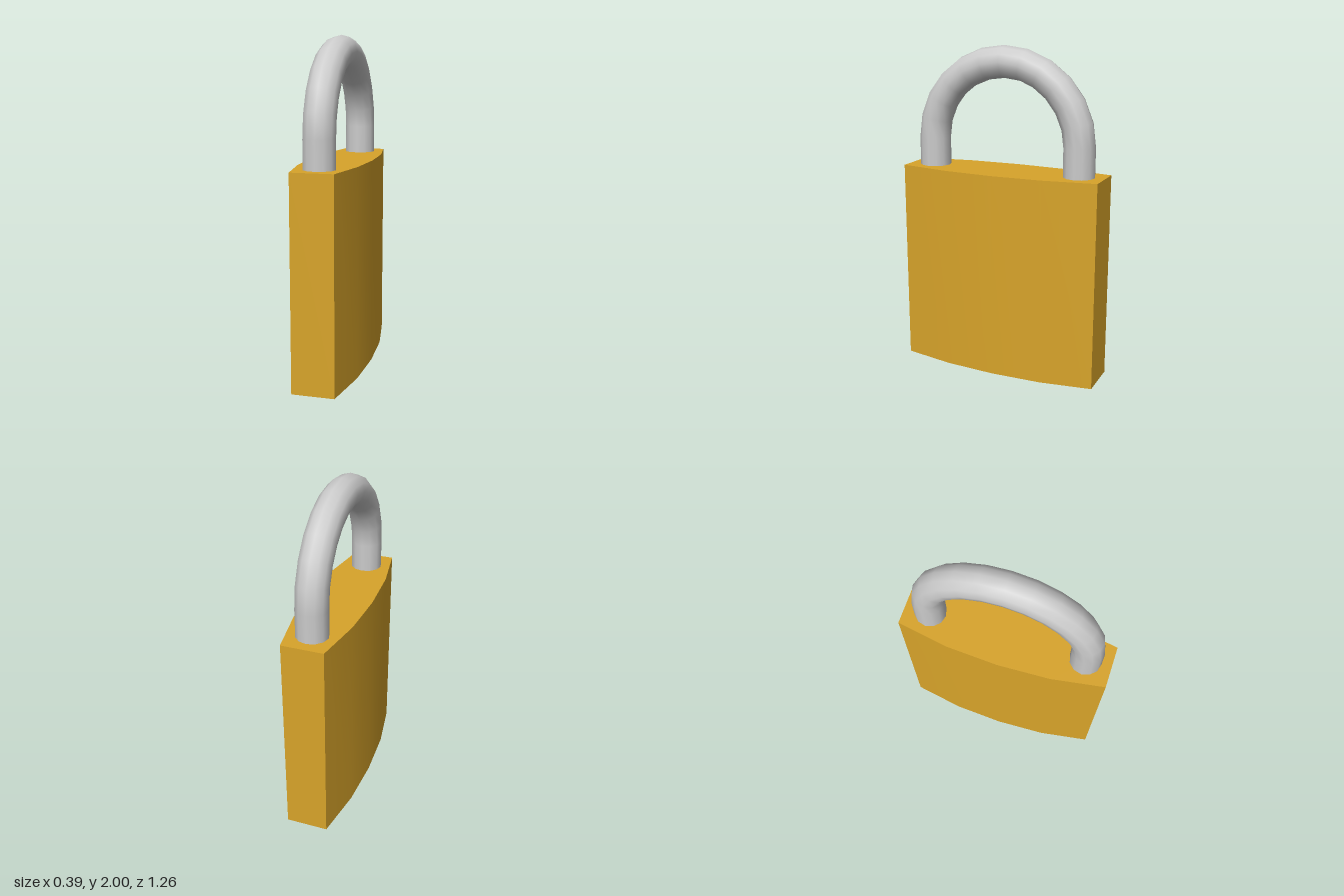
import * as THREE from 'three';
import { toCreasedNormals } from 'three/addons/utils/BufferGeometryUtils.js';

const BODY_HEIGHT = 1.26;
const ARC_Y = 1.43; // where the straight legs meet the bow
const BOW_RADIUS = 0.475;
const WIRE_RADIUS = 0.095;
const SIDES = 12;

export function createModel() {
  const model = new THREE.Group();
  model.name = 'padlock';

  const brass = new THREE.MeshStandardMaterial({ color: 0xd8a42a });
  const steel = new THREE.MeshStandardMaterial({ color: 0xcccccc });

  // Body: bulging outline extruded upwards, sharp at the corners
  const half = [[0.126, -0.63], [0.178, -0.315], [0.193, 0], [0.178, 0.315], [0.126, 0.63]];
  const outline = [...half, ...half.map(([x, z]) => [-x, -z])];
  const shape = new THREE.Shape(outline.map(([x, z]) => new THREE.Vector2(x, z)));
  const bodyGeometry = new THREE.ExtrudeGeometry(shape, { depth: BODY_HEIGHT, bevelEnabled: false });
  bodyGeometry.rotateX(-Math.PI / 2);
  const body = new THREE.Mesh(toCreasedNormals(bodyGeometry, Math.PI / 6), brass);
  body.name = 'body';
  model.add(body);

  // Shackle: half-ring bow on two straight legs
  const shackle = new THREE.Group();
  shackle.name = 'shackle';
  const bow = new THREE.Mesh(
    new THREE.TorusGeometry(BOW_RADIUS, WIRE_RADIUS, SIDES, 12, Math.PI), steel);
  bow.name = 'shackleBow';
  bow.rotation.y = Math.PI / 2;
  bow.position.y = ARC_Y;
  shackle.add(bow);

  const legLength = ARC_Y - BODY_HEIGHT;
  for (const side of [1, -1]) {
    const leg = new THREE.Mesh(
      new THREE.CylinderGeometry(WIRE_RADIUS, WIRE_RADIUS, legLength, SIDES, 1, true), steel);
    leg.name = side > 0 ? 'frontLeg' : 'backLeg';
    leg.position.set(0, BODY_HEIGHT + legLength / 2, side * BOW_RADIUS);
    shackle.add(leg);
  }
  model.add(shackle);

  return model;
}
